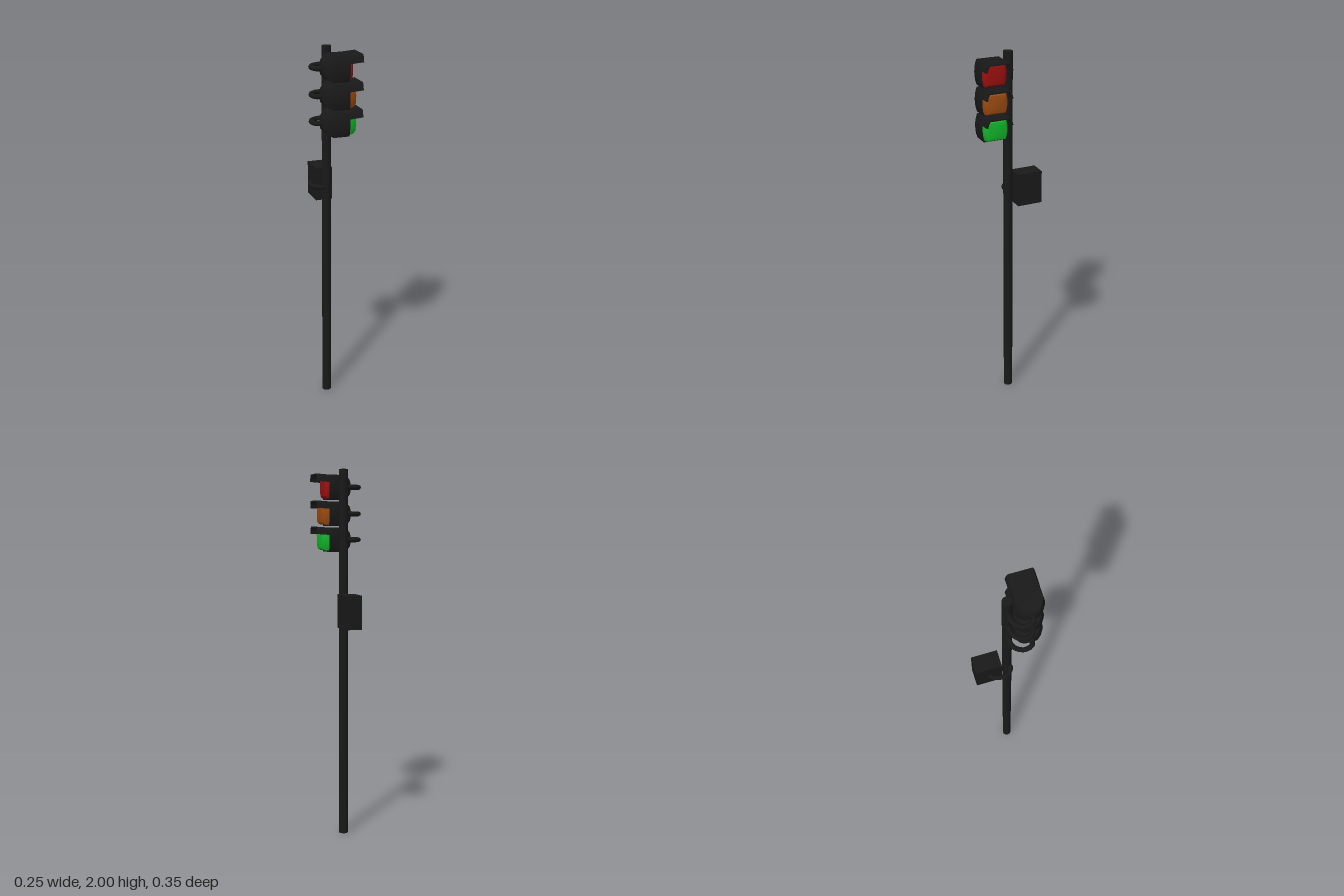
import * as THREE from 'three';
import { toCreasedNormals } from 'three/addons/utils/BufferGeometryUtils.js';

const mat = (color) => new THREE.MeshStandardMaterial({ color });
const black = mat(0x191919);

function add(parent, name, geometry, material = black) {
  const mesh = new THREE.Mesh(geometry, material);
  mesh.name = name;
  parent.add(mesh);
  return mesh;
}

// Lamp cross-section: flat top and bottom, slightly bulging sides
const quarter = [[0.072, 0], [0.071, 0.022], [0.067, 0.045], [0.06, 0.065]];
const half = [...quarter, ...quarter.slice(1).reverse().map(([u, v]) => [-u, v])];
const section = [...half, [-0.072, 0], ...half.slice(1).reverse().map(([u, v]) => [u, -v]).reverse().map(([u, v]) => [-u, v])];

// Skin the cross-section along x; each ring is [x, scale]
function loft(rings) {
  const n = section.length, pos = [], index = [];
  for (const [x, s] of rings) for (const [u, v] of section) pos.push(x, v * s, -u * s);
  for (let i = 0; i < rings.length - 1; i++) {
    for (let j = 0; j < n; j++) {
      const a = i * n + j, b = i * n + (j + 1) % n;
      if (rings[i + 1][1] > 0) index.push(a, b, b + n, a, b + n, a + n);
      else index.push(a, b, a + n);
    }
  }
  // Close the rear when the first ring is open
  for (let j = 1; j < n - 1; j++) index.push(0, j + 1, j);
  const g = new THREE.BufferGeometry();
  g.setAttribute('position', new THREE.Float32BufferAttribute(pos, 3));
  g.setIndex(index);
  return toCreasedNormals(g, 0.6);
}

// Thin hood with short side flaps, rising a little to its tip
function visorGeometry() {
  const side = [[0.072, 0.026], [0.067, 0.048], [0.06, 0.065]];
  const inner = [[0.053, 0.058], [0.06, 0.045], [0.064, 0.026]];
  const right = [...side, ...[...side].reverse().map(([u, v]) => [-u, v])];
  const back = [...[...inner].reverse().map(([u, v]) => [-u, v]), ...inner];
  const shape = new THREE.Shape([...right, ...back].map(([u, v]) => new THREE.Vector2(u, v)));
  const g = new THREE.ExtrudeGeometry(shape, { depth: 0.075, bevelEnabled: false });
  g.rotateY(Math.PI / 2).translate(0.05, 0, 0);
  const p = g.attributes.position;
  for (let i = 0; i < p.count; i++) p.setY(i, p.getY(i) + (p.getX(i) - 0.05) * 0.07);
  g.computeVertexNormals();
  return g;
}

function armGeometry(points) {
  const path = new THREE.CatmullRomCurve3(points.map(([x, z]) => new THREE.Vector3(x, 0, z)));
  return new THREE.TubeGeometry(path, 12, 0.013, 8);
}

export function createModel() {
  const model = new THREE.Group();
  model.name = 'trafficLight';

  // Pole
  const pole = add(model, 'pole', new THREE.CylinderGeometry(0.025, 0.025, 2, 12));
  pole.position.set(-0.012, 1, 0);

  // Three lamps, facing +x
  const housing = loft([[-0.077, 0.33], [-0.07, 0.55], [-0.053, 0.8], [-0.03, 1],
    [0.055, 1], [0.055, 0.92], [0.045, 0.91], [0.045, 0]]);
  const visor = visorGeometry();
  const arm = armGeometry([[-0.012, 0.002], [-0.07, 0.003], [-0.1, 0.025],
    [-0.114, 0.062], [-0.1, 0.1], [-0.065, 0.105]]);
  const lamps = [
    ['red', 1.907, 0x9c1010, 0.03],
    ['amber', 1.766, 0x9a4a10, 0.05],
    ['green', 1.627, 0x12b42a, 0.05],
  ];
  for (const [name, y, color, bulge] of lamps) {
    const lamp = new THREE.Group();
    lamp.name = name + 'Lamp';
    lamp.position.y = y;
    model.add(lamp);
    add(lamp, 'housing', housing).position.z = 0.103;
    add(lamp, 'visor', visor).position.z = 0.103;
    const lens = loft([[0.044, 0.91], [0.048 + bulge * 0.55, 0.86],
      [0.048 + bulge * 0.9, 0.7], [0.048 + bulge, 0.4], [0.048 + bulge, 0]]);
    add(lamp, 'lens', lens, mat(color)).position.z = 0.103;
    add(lamp, 'bracketArm', arm);
  }

  // Control box with a recessed door
  const box = new THREE.Group();
  box.name = 'controlBox';
  box.position.set(0, 1.25, -0.109);
  model.add(box);
  add(box, 'cabinet', new THREE.BoxGeometry(0.083, 0.18, 0.138)).position.x = -0.0165;
  const rect = (C, w, h) => new C([[-w, -h], [w, -h], [w, h], [-w, h]].map(([x, y]) => new THREE.Vector2(x, y)));
  const frame = rect(THREE.Shape, 0.069, 0.09);
  frame.holes.push(rect(THREE.Path, 0.057, 0.078));
  const frameGeo = new THREE.ExtrudeGeometry(frame, { depth: 0.008, bevelEnabled: false });
  add(box, 'doorFrame', frameGeo.rotateY(Math.PI / 2)).position.x = 0.025;

  // Control box bracket
  const boxArm = add(model, 'boxArm', armGeometry([[-0.012, 0.002], [-0.045, 0.01],
    [-0.077, -0.015], [-0.083, -0.055], [-0.07, -0.093], [-0.045, -0.11]]));
  boxArm.position.y = 1.25;
  return model;
}
